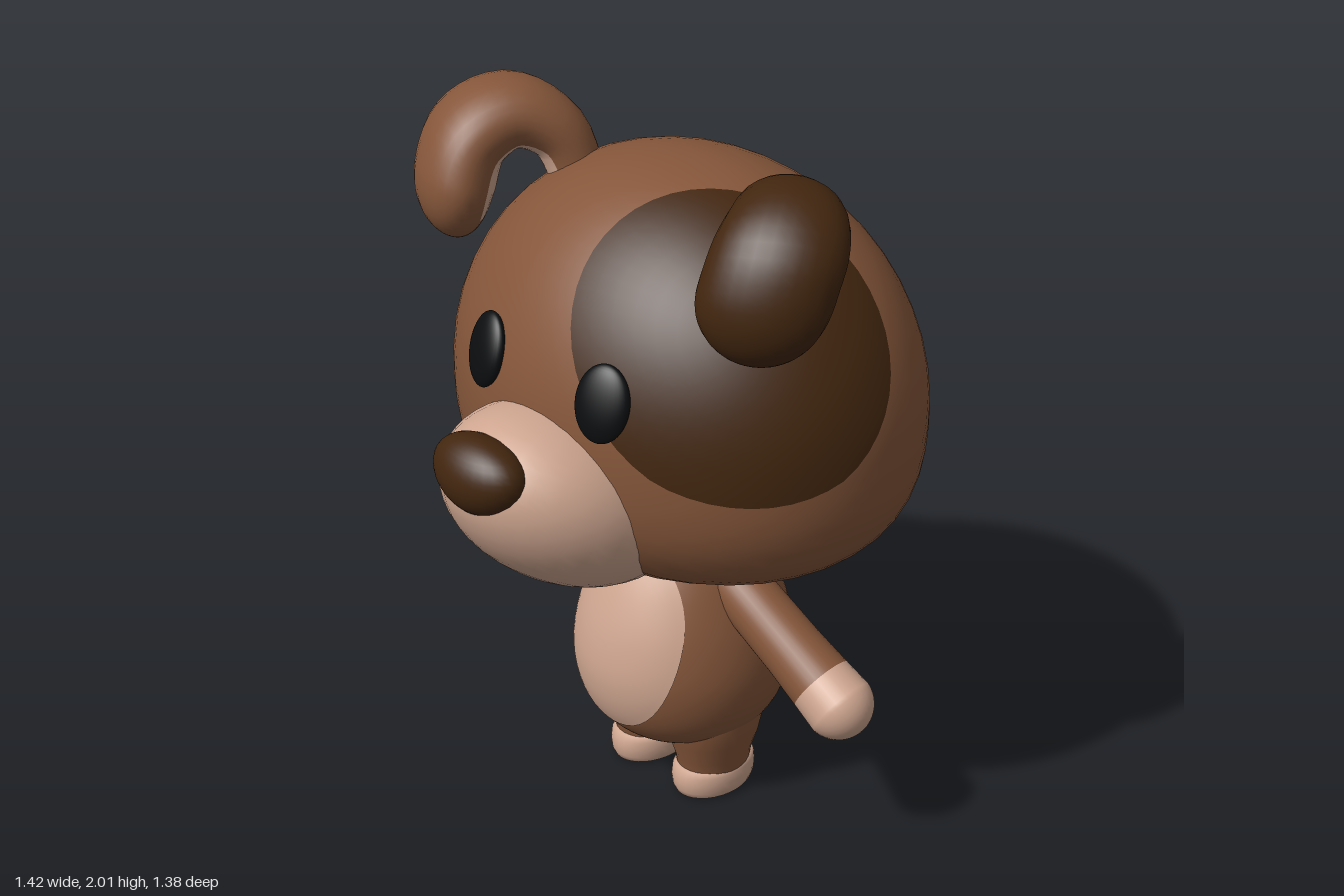
import * as THREE from 'three';
import { mergeVertices } from 'three/addons/utils/BufferGeometryUtils.js';

const mat = (name, color) => Object.assign(new THREE.MeshStandardMaterial({ color }), { name });
const V = (x, y, z) => new THREE.Vector3(x, y, z);
const V2 = ([x, y]) => new THREE.Vector2(x, y);

export function createModel() {
  const brown = mat('brown fur', 0x85563a);
  const dark = mat('dark brown fur', 0x42260f);
  const cream = mat('cream fur', 0xcfa690);
  const black = mat('black eye', 0x0b0d0f);
  const pink = mat('paw pad', 0x8c4052);
  const model = new THREE.Group();
  model.name = 'puppy';

  const add = (name, geometry, material, pos = [0, 0, 0], scale = [1, 1, 1]) => {
    const m = new THREE.Mesh(geometry, material);
    m.name = name;
    m.position.set(...pos);
    m.scale.set(...scale);
    model.add(m);
    return m;
  };
  const spun = (pts, n = 32) => new THREE.LatheGeometry(pts.map(V2), n);
  const bentMesh = (positions, index) => {
    const g = new THREE.BufferGeometry();
    g.setAttribute('position', new THREE.Float32BufferAttribute(positions, 3));
    g.setIndex(index);
    g.computeVertexNormals();
    return g;
  };

  // Head: sphere with its pole turned to the eye patch, so the patch is its first rows
  const W = 48, ROWS = 36, PATCH_ROWS = 8;
  let headGeo = new THREE.SphereGeometry(1, W, ROWS);
  headGeo.applyQuaternion(new THREE.Quaternion().setFromUnitVectors(V(0, 1, 0), V(0.67, 0.559, 0.488).normalize()));
  headGeo.deleteAttribute('uv');
  headGeo.deleteAttribute('normal');
  headGeo = mergeVertices(headGeo, 1e-4);
  const hp = headGeo.attributes.position;
  for (let i = 0; i < hp.count; i++) {
    const x = hp.getX(i), y = hp.getY(i), z = hp.getZ(i);
    // fuller, flatter jaw below the widest line
    const e = 2.7, f = y < 0 ? (Math.hypot(x, z) ** e + (-y) ** e) ** (-1 / e) : 1;
    hp.setXYZ(i, 0.7 * f * x, 1.25 + (y < 0 ? 0.46 : 0.635) * f * y, -0.13 + 0.56 * f * z);
  }
  headGeo.computeVertexNormals();
  const split = 3 * W + 6 * W * (PATCH_ROWS - 1);
  headGeo.clearGroups();
  headGeo.addGroup(0, split, 0);
  headGeo.addGroup(split, headGeo.index.count - split, 1);
  add('head', headGeo, [dark, brown]);

  // Muzzle and nose
  const ball = new THREE.SphereGeometry(1, 32, 24);
  add('muzzle', ball, cream, [0, 1.072, 0.315], [0.305, 0.24, 0.37]).rotation.x = -Math.PI / 6;
  const noseGeo = new THREE.SphereGeometry(1, 28, 20);
  const np = noseGeo.attributes.position;
  for (let i = 0; i < np.count; i++) {
    const y = np.getY(i);
    np.setX(i, np.getX(i) * (1 + 0.15 * y));
  }
  noseGeo.computeVertexNormals();
  add('nose', noseGeo, dark, [0, 1.23, 0.6], [0.147, 0.103, 0.094]);

  // Body of revolution
  const BZ = -0.125, BD = 1.02;
  const bodyPts = new THREE.SplineCurve([[0.001, 0.15], [0.13, 0.165], [0.22, 0.215], [0.28, 0.3], [0.305, 0.42],
    [0.29, 0.55], [0.245, 0.68], [0.185, 0.79], [0.12, 0.88]].map(V2)).getPoints(48);
  add('body', new THREE.LatheGeometry(bodyPts, 64), brown, [0, 0, BZ], [1, 1, BD]);
  const bodyRadius = (y) => {
    const i = Math.max(1, bodyPts.findIndex((p) => p.y >= y));
    const a = bodyPts[i - 1], b = bodyPts[i];
    return a.x + (b.x - a.x) * (y - a.y) / (b.y - a.y);
  };

  // Belly patch: oval plate laid on the body surface
  const bellyPos = [], bellyIdx = [], RINGS = 14, SEG = 48;
  for (let r = 0; r <= RINGS; r++) for (let s = 0; s < SEG; s++) {
    const a = s / SEG * Math.PI * 2, k = r / RINGS;
    const x = 0.205 * k * Math.cos(a), y = 0.54 + 0.27 * k * Math.sin(a);
    bellyPos.push(x, y, BZ + BD * Math.sqrt(Math.max(0, bodyRadius(y) ** 2 - x * x)) + 0.006);
    if (r < RINGS) {
      const p = r * SEG + s, q = r * SEG + (s + 1) % SEG;
      bellyIdx.push(p, p + SEG, q, q, p + SEG, q + SEG);
    }
  }
  add('bellyPatch', bentMesh(bellyPos, bellyIdx), cream);

  // Floppy ear: oval section swept along an arch, cream on the inside of the curl
  function earGeometry(s) {
    const path = new THREE.CatmullRomCurve3([[0.35, 1.74, -0.07], [0.41, 1.86, -0.045], [0.5, 1.91, 0.03],
      [0.555, 1.86, 0.125], [0.56, 1.75, 0.18], [0.55, 1.59, 0.19]].map(([x, y, z]) => V(s * x, y, z)));
    const N = 36, M = 28, pos = [], outer = [], inner = [];
    const wide = V(0.83, 0, -0.55 * s).normalize();
    for (let i = 0; i <= N; i++) {
      const t = 1 - (1 - i / N) ** 1.8;
      const P = path.getPointAt(t), out = path.getTangentAt(t).cross(wide).normalize();
      const cap = t > 0.72 ? Math.sqrt(Math.max(0.0004, 1 - ((t - 0.72) / 0.28) ** 2)) : 1;
      const grow = THREE.MathUtils.smoothstep(t, 0, 0.65);
      const w = (0.085 + 0.083 * grow) * cap, d = (0.075 + 0.035 * grow) * cap;
      for (let j = 0; j < M; j++) {
        const a = j / M * Math.PI * 2;
        const p = P.clone().addScaledVector(wide, w * Math.cos(a)).addScaledVector(out, d * Math.sin(a));
        pos.push(p.x, p.y, p.z);
        if (i === N) continue;
        const u = i * M + j, v = i * M + (j + 1) % M;
        const isInner = Math.sin((j + 0.5) / M * Math.PI * 2) < -0.55 && t < 0.9;
        (isInner ? inner : outer).push(u, v, u + M, v, v + M, u + M);
      }
    }
    const g = bentMesh(pos, [...outer, ...inner]);
    g.addGroup(0, outer.length, 0);
    g.addGroup(outer.length, inner.length, 1);
    return g;
  }

  // Shared limb profiles
  const armGeo = spun([[0.001, -0.08], [0.06, -0.06], [0.082, 0], [0.084, 0.12], [0.086, 0.25], [0.092, 0.37]]);
  const handPts = [[0.092, 0.37]];
  for (let i = 1; i <= 12; i++) {
    const a = i / 12 * Math.PI / 2;
    handPts.push([Math.max(0.0005, 0.098 * Math.cos(a)), 0.44 + 0.098 * Math.sin(a)]);
  }
  const handGeo = spun(handPts);
  const legGeo = spun([[0.094, 0.08], [0.1, 0.12], [0.117, 0.18], [0.13, 0.25], [0.13, 0.34], [0.08, 0.42]]);
  const footGeo = spun([[0.001, 0.004], [0.084, 0.004], [0.091, 0.007], [0.097, 0.025], [0.099, 0.05],
    [0.097, 0.075], [0.09, 0.09], [0.06, 0.095]]);
  const padGeo = new THREE.CircleGeometry(0.055, 28).rotateX(Math.PI / 2);

  for (const [s, side] of [[1, 'left'], [-1, 'right']]) {
    add(side + 'Ear', earGeometry(s), [s > 0 ? dark : brown, cream]);

    const eye = add(side + 'Eye', ball, black, [s * 0.215, 1.43, 0.383], [0.077, 0.102, 0.03]);
    eye.quaternion.setFromUnitVectors(V(0, 0, 1), V(s * 0.44, 0.447, 1.62).normalize());

    const dir = V(s * 0.86, -0.51, -0.02).normalize();
    for (const [part, geo, m] of [['Arm', armGeo, brown], ['Hand', handGeo, cream]]) {
      add(side + part, geo, m, [s * 0.2, 0.7, -0.12]).quaternion.setFromUnitVectors(V(0, 1, 0), dir);
    }

    const at = [s * 0.125, 0, -0.122];
    add(side + 'Leg', legGeo, brown, at, [1, 1, 1.2]);
    add(side + 'Foot', footGeo, cream, at, [1, 1, 1.38]);
    add(side + 'PawPad', padGeo, pink, [at[0], 0.001, at[2]], [1, 1, 1.3]);
  }
  return model;
}
